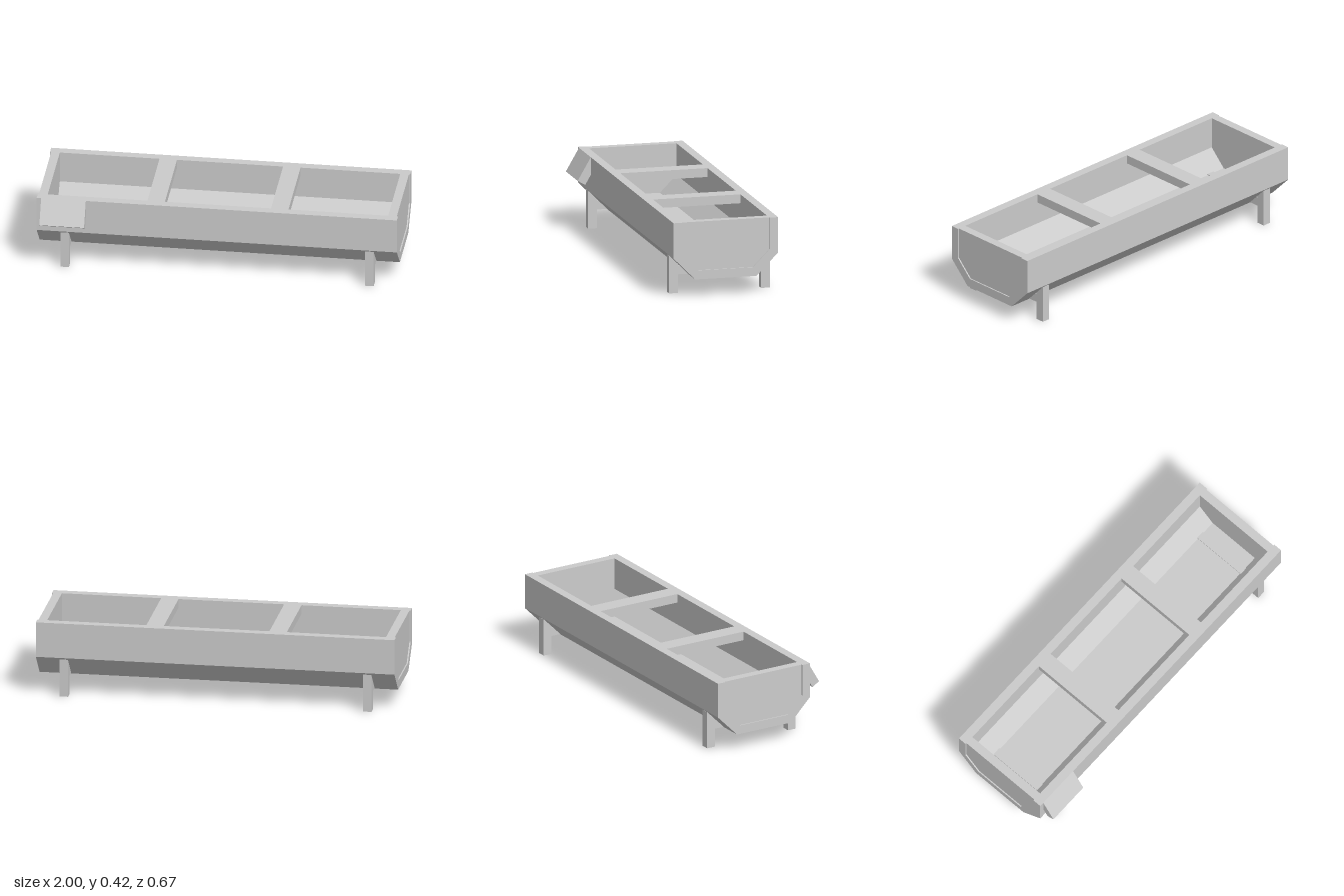
import * as THREE from 'three';

const material = new THREE.MeshStandardMaterial({ color: 0xcccccc, flatShading: true });
const MID = -0.0365; // z of the trough's centre plane

// Extrude a [z, y] outline along x from x0 to x1
function extrudeX(name, points, x0, x1) {
  const shape = new THREE.Shape(points.map(([z, y]) => new THREE.Vector2(-z, y)));
  const geometry = new THREE.ExtrudeGeometry(shape, { depth: x1 - x0, bevelEnabled: false });
  geometry.rotateY(Math.PI / 2).translate(x0, 0, 0);
  const mesh = new THREE.Mesh(geometry, material);
  mesh.name = name;
  return mesh;
}

function box(name, w, h, d, x, y, z) {
  const mesh = new THREE.Mesh(new THREE.BoxGeometry(w, h, d), material);
  mesh.position.set(x, y, z);
  mesh.name = name;
  return mesh;
}

// Mirror half an outline about the centre plane
const mirrored = (half) => [
  ...half.map(([z, y]) => [MID + z, y]),
  ...half.slice().reverse().map(([z, y]) => [MID - z, y]),
];

export function createModel() {
  const group = new THREE.Group();
  group.name = 'trough';

  const outer = mirrored([[0.2985, 0.424], [0.2985, 0.225], [0.1745, 0.1]]);
  const inner = mirrored([[0.249, 0.424], [0.249, 0.245], [0.155, 0.15]]);

  // Channel with sloped lower sides
  group.add(extrudeX('troughShell', [...outer, ...inner.slice().reverse()], -1, 1));

  for (const side of [-1, 1]) {
    // Slightly recessed end wall
    const [x0, x1] = side > 0 ? [0.945, 0.993] : [-0.993, -0.945];
    group.add(extrudeX('endWall', inner, x0, x1));

    // Divider bar across the opening
    group.add(box('dividerBar', 0.097, 0.05, 0.498, side * 0.343, 0.399, MID));

    // Pair of legs joined by a cross beam
    const legs = new THREE.Group();
    legs.name = 'legFrame';
    const x = side * 0.846;
    for (const s of [-1, 1]) legs.add(box('leg', 0.047, 0.213, 0.05, x, 0.1065, MID + s * 0.2625));
    legs.add(box('crossBeam', 0.047, 0.05, 0.476, x, 0.13, MID));
    group.add(legs);
  }

  // Tilted plate on the front right corner
  group.add(extrudeX('tiltedPlate', [[0.262, 0.424], [0.337, 0.295], [0.294, 0.27], [0.219, 0.399]], -0.975, -0.727));

  return group;
}
